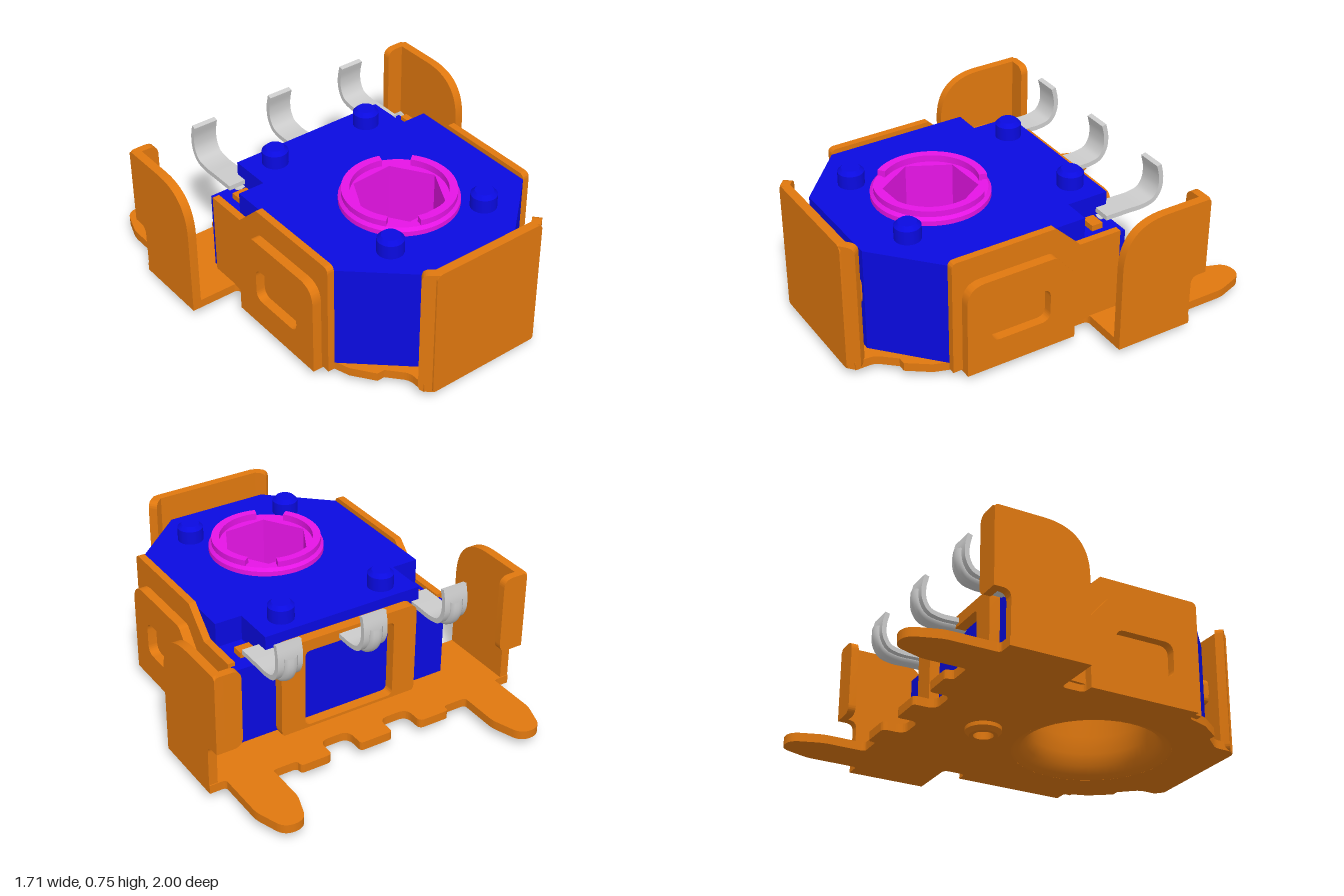
import * as THREE from 'three';
import { toCreasedNormals } from 'three/addons/utils/BufferGeometryUtils.js';

const mat = (color) => new THREE.MeshStandardMaterial({ color, side: THREE.DoubleSide });

// Closed outline from [x, y, cornerRadius] points
function outline(pts, Type = THREE.Shape) {
  const s = new Type();
  const n = pts.length;
  pts.forEach((p, i) => {
    const v = new THREE.Vector2(p[0], p[1]);
    const a = new THREE.Vector2(...pts[(i + n - 1) % n].slice(0, 2)).sub(v);
    const b = new THREE.Vector2(...pts[(i + 1) % n].slice(0, 2)).sub(v);
    const r = Math.min(p[2] || 0, a.length() * 0.5, b.length() * 0.5);
    const from = v.clone().addScaledVector(a.normalize(), r);
    const to = v.clone().addScaledVector(b.normalize(), r);
    if (i === 0) s.moveTo(from.x, from.y); else s.lineTo(from.x, from.y);
    if (r > 0) s.quadraticCurveTo(v.x, v.y, to.x, to.y);
  });
  s.closePath();
  return s;
}

const circle = (x, y, r) => new THREE.Path().absarc(x, y, r, 0, Math.PI * 2, true);
const rect = (x0, x1, y0, y1, r = 0) => [[x0, y0, r], [x1, y0, r], [x1, y1, r], [x0, y1, r]];
// Right half of a plan, mirrored to a full plan; z is negated for extruding upward
const plan = (half) => [...half, ...half.map(([x, z, r]) => [-x, z, r]).reverse()].map(([x, z, r]) => [x, -z, r]);

function extrude(shape, depth) {
  const g = new THREE.ExtrudeGeometry(shape, { depth, bevelEnabled: false, curveSegments: 16 });
  return toCreasedNormals(g, 0.6);
}

export function createModel() {
  const model = new THREE.Group();
  const orange = mat(0xe0780f), blue = mat(0x0a0ae0), magenta = mat(0xe614e6), grey = mat(0xcccccc);

  const add = (name, geo, material, x = 0, y = 0, z = 0) => {
    const m = new THREE.Mesh(geo, material);
    m.name = name;
    m.position.set(x, y, z);
    model.add(m);
    return m;
  };
  // Horizontal slab between y0 and y1
  const slab = (name, pts, y0, y1, material, holes = []) => {
    const s = outline(pts);
    s.holes.push(...holes);
    return add(name, extrude(s, y1 - y0).rotateX(-Math.PI / 2), material, 0, y0);
  };
  // Upright sheet with a (z, y) outline, on both sides of the model
  const sidePair = (name, pts, x0, x1, material, hole) => {
    for (const s of [1, -1]) {
      const shape = outline(pts);
      if (hole) shape.holes.push(outline(hole, THREE.Path));
      add((s > 0 ? 'left' : 'right') + name, extrude(shape, x1 - x0).rotateY(-Math.PI / 2), material, s > 0 ? x1 : -x0);
    }
  };
  // Upright sheet with an (x, y) outline
  const sheet = (name, pts, z0, z1, material, hole) => {
    const shape = outline(pts);
    if (hole) shape.holes.push(outline(hole, THREE.Path));
    return add(name, extrude(shape, z1 - z0), material, 0, 0, z0);
  };
  const CZ = 0.36; // centre of the rotor

  // Base plate with two rear mounting horns
  slab('basePlate', plan([
    [0.09, -0.66, 0.02], [0.09, -0.545, 0.05], [0.25, -0.545, 0.05], [0.25, -0.66, 0.03],
    [0.42, -0.66, 0.03], [0.42, -0.62, 0.02], [0.55, -0.62, 0.02], [0.55, -0.84, 0.03],
    [0.605, -1, 0.07], [0.715, -1, 0.07], [0.77, -0.84, 0.03], [0.77, -0.57, 0.02],
    [0.855, -0.57], [0.855, -0.16], [0.59, -0.16, 0.03], [0.59, -0.04, 0.03], [0.65, -0.04],
    [0.65, 0.55], [0.58, 0.55, 0.02], [0.54, 0.67], [0.46, 0.78], [0.42, 0.78],
    [0.34, 0.87, 0.03], [0.34, 0.97],
  ]), 0.04, 0.085, orange, [circle(0, -CZ, 0.4)]);

  // Flared collar drawn up from the base hole
  const flare = [[0.4, 0.04], [0.36, 0.055], [0.33, 0.09], [0.31, 0.15], [0.3, 0.24], [0.295, 0.5]];
  add('baseCollar', new THREE.LatheGeometry(flare.map((p) => new THREE.Vector2(...p)), 48), orange, 0, 0, CZ);

  // Hollow locating boss under the base
  const boss = [[0.05, 0.05], [0.05, 0], [0.07, 0], [0.09, 0.02], [0.09, 0.05]];
  add('locatingBoss', toCreasedNormals(
    new THREE.LatheGeometry(boss.map((p) => new THREE.Vector2(...p)), 32), 0.5), orange, 0, 0, -0.245);

  // Rear wings with inward flanges
  sidePair('Wing', [
    [-0.16, 0.04], [-0.16, 0.72, 0.24], [-0.65, 0.72, 0.02], [-0.65, 0.31],
    [-0.565, 0.31, 0.05], [-0.565, 0.04],
  ], 0.81, 0.855, orange);
  for (const s of [1, -1]) {
    sheet('wingFlange', [
      [s * 0.85, 0.31, 0.02], [s * 0.85, 0.72, 0.02], [s * 0.72, 0.72, 0.05], [s * 0.72, 0.31, 0.05],
    ], -0.65, -0.61, orange);
  }

  // Side walls and their raised outer panels with a window
  sidePair('SideWall', [
    [0.6, 0.05], [0.6, 0.655, 0.03], [0.05, 0.655], [-0.09, 0.52], [-0.32, 0.52], [-0.32, 0.085],
  ], 0.57, 0.607, orange);
  sidePair('SidePanel', [
    [0.55, 0.04], [0.55, 0.53, 0.1], [0.07, 0.53, 0.02], [-0.04, 0.4, 0.02], [-0.04, 0.04],
  ], 0.607, 0.655, orange, rect(0.1, 0.42, 0.19, 0.37, 0.05));

  // Front shield with swept edges and an inner spring tongue
  sheet('frontShield', [
    [-0.31, 0.04, 0.02], [0.31, 0.04, 0.02], [0.31, 0.72, 0.03], [-0.31, 0.72, 0.03],
  ], 0.955, 1, orange);
  for (const s of [1, -1]) {
    const edge = sheet('shieldEdge', [
      [0, 0.04], [s * 0.078, 0.04, 0.06], [s * 0.078, 0.72, 0.08], [0, 0.72],
    ], -0.045, 0, orange);
    edge.position.set(s * 0.3, 0, 1);
    edge.geometry.translate(0, 0, -0.045);
    edge.position.z = 1;
    edge.rotation.y = s * 0.72;
  }
  sheet('springTongue', rect(-0.25, 0.25, 0.33, 0.46, 0.03), 0.87, 0.915, orange);
  sheet('tongueRoot', rect(-0.2, 0.2, 0.4, 0.45), 0.9, 0.96, orange);

  // Rear retaining frame
  sheet('rearFrame', rect(-0.38, 0.38, 0.07, 0.58, 0.05), -0.42, -0.365, orange, rect(-0.25, 0.25, 0.1, 0.52, 0.03));

  // Housing: wide lower block and notched upper block
  slab('lowerHousing', plan([
    [0.59, -0.36], [0.59, -0.32], [0.57, -0.32], [0.57, 0.6], [0.27, 0.87],
  ]), 0.085, 0.5, blue, [circle(0, -CZ, 0.4)]);
  slab('upperHousing', plan([
    [0.43, -0.36], [0.43, -0.14], [0.57, -0.14], [0.57, 0.6], [0.27, 0.87],
  ]), 0.5, 0.63, blue, [circle(0, -CZ, 0.27)]);

  // Rivet pins on the housing
  const pin = [[0, 0.09], [0.045, 0.09], [0.065, 0.07], [0.065, -0.02]].reverse();
  for (const x of [-0.28, 0.28]) for (const z of [-0.25, 0.64]) {
    add('pin', toCreasedNormals(
      new THREE.LatheGeometry(pin.map((p) => new THREE.Vector2(...p)), 28), 0.5), blue, x, 0.63, z);
  }

  // Rotor with a hexagonal bore, sloped rim and two raised arcs
  const hex = Array.from({ length: 6 }, (_, i) => {
    const a = i * Math.PI / 3 + 0.05;
    return [0.228 * Math.cos(a), 0.228 * Math.sin(a) - CZ];
  });
  const ring = new THREE.Shape().absarc(0, -CZ, 0.26, 0, Math.PI * 2);
  ring.holes.push(outline(hex, THREE.Path));
  add('rotor', extrude(ring, 0.335).rotateX(-Math.PI / 2), magenta, 0, 0.33);
  const rim = [[0.25, 0.62], [0.29, 0.62], [0.29, 0.655], [0.275, 0.67], [0.25, 0.67]];
  add('rotorRim', toCreasedNormals(
    new THREE.LatheGeometry(rim.map((p) => new THREE.Vector2(...p)), 48), 0.4), magenta, 0, 0, CZ);
  for (const start of [1.25, 1.25 + Math.PI]) {
    const arc = new THREE.Shape();
    arc.absarc(0, -CZ, 0.275, start, start + 2.55, false);
    arc.absarc(0, -CZ, 0.235, start + 2.55, start, true);
    add('rotorArc', extrude(arc, 0.04).rotateX(-Math.PI / 2), magenta, 0, 0.66);
  }

  // Bent terminals: a strip swept along its side profile, with a pressed rib
  const bend = new THREE.CatmullRomCurve3([
    [-0.3, 0.535], [-0.42, 0.535], [-0.52, 0.535], [-0.585, 0.555], [-0.62, 0.61], [-0.625, 0.68], [-0.61, 0.75],
  ].map(([z, y]) => new THREE.Vector3(0, y, z)));
  const centre = bend.getPoints(24).map((p) => [p.z, p.y]);
  const offset = centre.map(([z, y], i) => {
    const a = centre[Math.max(i - 1, 0)], b = centre[Math.min(i + 1, 24)];
    const dz = b[0] - a[0], dy = b[1] - a[1], l = Math.hypot(dz, dy);
    return [z - dy / l * -0.025, y + dz / l * -0.025];
  });
  for (const x of [-0.455, 0, 0.455]) {
    add('terminal', extrude(outline([...centre, ...offset.reverse()]), 0.13).rotateY(-Math.PI / 2), grey, x + 0.065);
    offset.reverse();
    const rib = new THREE.TubeGeometry(new THREE.CatmullRomCurve3(
      centre.slice(0, 21).map(([z, y]) => new THREE.Vector3(0, y, z))), 30, 0.022, 10);
    add('terminalRib', rib.scale(1.6, 1, 1), grey, x);
    // Contact pad where the outer terminals meet the housing
    if (x) add('contactPad', new THREE.BoxGeometry(0.08, 0.04, 0.06), orange, x * 1.05, 0.51, -0.25);
  }

  return model;
}
